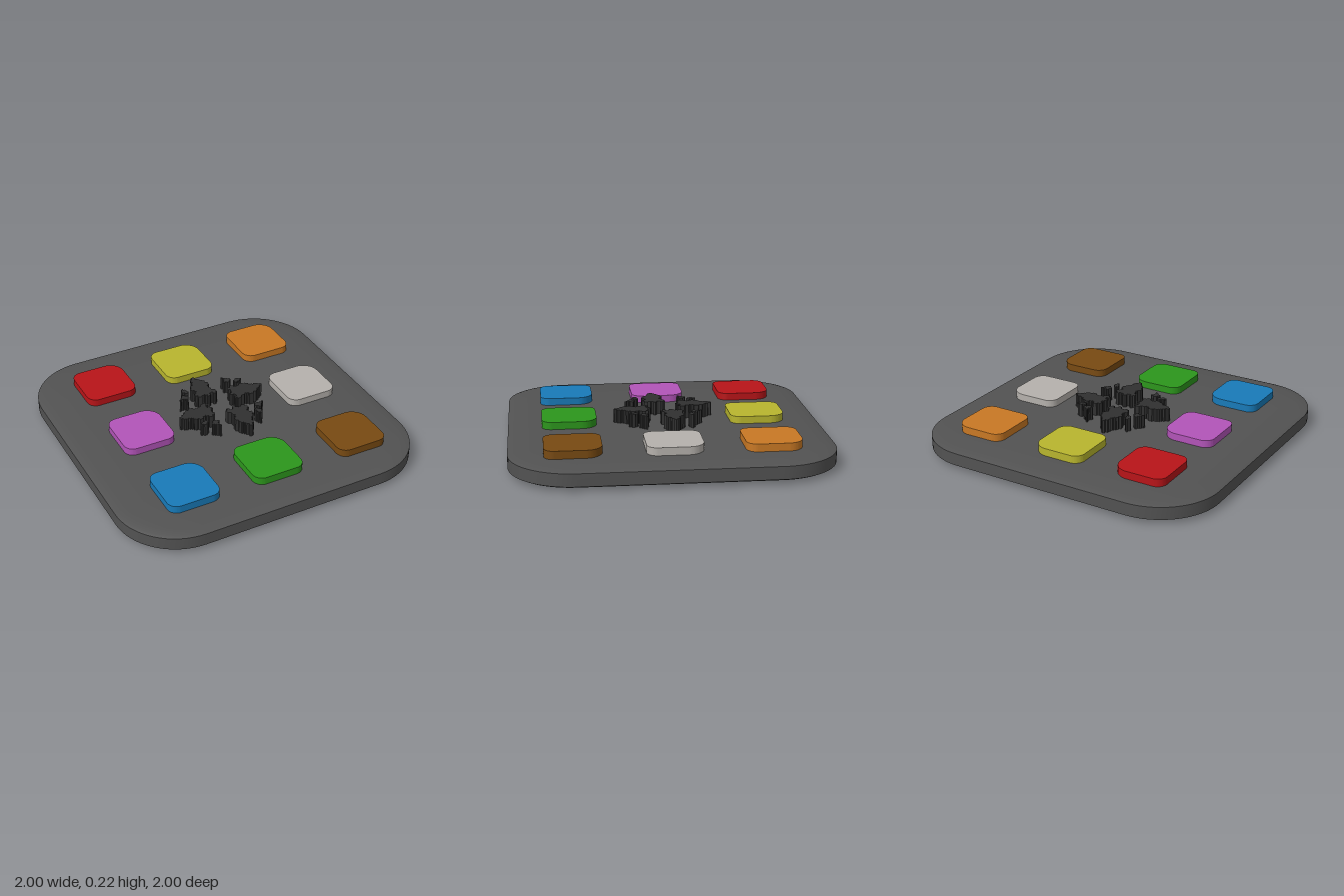
import * as THREE from 'three';
import { toCreasedNormals } from 'three/addons/utils/BufferGeometryUtils.js';

const mat = (color) => new THREE.MeshStandardMaterial({ color });

// Cushion-shaped slab lofted through rounded squares: [inset, height]
function slabGeometry() {
  const rings = [[0.36, 0], [0.25, 0.001], [0.15, 0.005], [0.07, 0.012], [0.02, 0.02], [0, 0.03],
    [0, 0.11], [0.02, 0.116], [0.07, 0.122], [0.15, 0.128], [0.25, 0.132], [0.36, 0.133]];
  const steps = 16, n = 4 * (steps + 1), pos = [], index = [];
  for (const [inset, y] of rings) {
    const r = 0.4 - inset;
    for (let q = 0; q < 4; q++) {
      const cx = q === 0 || q === 3 ? 0.6 : -0.6, cz = q < 2 ? 0.6 : -0.6;
      for (let s = 0; s <= steps; s++) {
        const a = (q + s / steps) * Math.PI / 2;
        pos.push(cx + r * Math.cos(a), y, cz + r * Math.sin(a));
      }
    }
  }
  for (let i = 0; i < rings.length - 1; i++) {
    for (let j = 0; j < n; j++) {
      const a = i * n + j, b = i * n + (j + 1) % n;
      index.push(a, a + n, b, b, a + n, b + n);
    }
  }
  const low = pos.length / 3, high = low + 1, last = (rings.length - 1) * n;
  pos.push(0, 0, 0, 0, 0.134, 0);
  for (let j = 0; j < n; j++) {
    const k = (j + 1) % n;
    index.push(low, j, k, high, last + k, last + j);
  }
  const g = new THREE.BufferGeometry();
  g.setAttribute('position', new THREE.Float32BufferAttribute(pos, 3));
  g.setIndex(index);
  return toCreasedNormals(g, 0.6);
}

// Upright prism from a plan outline
function prism(shape, bottom, top) {
  const g = new THREE.ExtrudeGeometry(shape, { depth: top - bottom, bevelEnabled: false, curveSegments: 10 });
  g.rotateX(-Math.PI / 2);
  g.translate(0, bottom, 0);
  return g;
}

// Button outline: one corner is rounder than the others
function buttonShape() {
  const w = 0.17, h = 0.175, r = 0.065, R = 0.1;
  const s = new THREE.Shape();
  s.moveTo(-w + r, -h);
  s.lineTo(w - r, -h);
  s.absarc(w - r, -h + r, r, -Math.PI / 2, 0);
  s.absarc(w - R, h - R, R, 0, Math.PI / 2);
  s.absarc(-w + r, h - r, r, Math.PI / 2, Math.PI);
  s.absarc(-w + r, -h + r, r, Math.PI, Math.PI * 1.5);
  return s;
}

// Coastline-like outline: every edge gets a fine zigzag
function raggedShape(points, teeth, amp) {
  const out = [];
  points.forEach(([x, y], i) => {
    const [x2, y2] = points[(i + 1) % points.length];
    const dx = x2 - x, dy = y2 - y, len = Math.hypot(dx, dy);
    for (let t = 0; t < teeth; t++) {
      const off = t === 0 ? 0 : (t % 2 ? amp : -amp * 0.6);
      out.push(new THREE.Vector2(x + dx * t / teeth - dy / len * off, y + dy * t / teeth + dx / len * off));
    }
  });
  return new THREE.Shape(out);
}

export function createModel() {
  const model = new THREE.Group();
  const add = (parent, geometry, material, name) => {
    const m = new THREE.Mesh(geometry, material);
    m.name = name;
    parent.add(m);
    return m;
  };

  add(model, slabGeometry(), mat(0x525252), 'base');

  // Eight coloured buttons around the edge
  const buttonGeometry = toCreasedNormals(prism(buttonShape(), 0.12, 0.18), 0.6);
  const buttons = [
    ['redButton', 0xb81418, -0.55, -0.605], ['yellowButton', 0xb8b52e, 0.02, -0.6],
    ['orangeButton', 0xc87824, 0.607, -0.6], ['purpleButton', 0xb254b8, -0.55, -0.01],
    ['whiteButton', 0xb5b1ac, 0.615, 0], ['blueButton', 0x187ab8, -0.55, 0.61],
    ['greenButton', 0x2c961c, 0.02, 0.61], ['brownButton', 0x784a12, 0.615, 0.61],
  ];
  for (const [name, color, x, z] of buttons) {
    add(model, buttonGeometry, mat(color), name).position.set(x, 0, z);
  }

  // Ragged raised ornament: one arm with its islets, repeated every quarter turn
  const dark = mat(0x303030);
  const arm = [[-0.05, 0.325], [-0.025, 0.285], [-0.005, 0.265], [0.015, 0.215], [-0.01, 0.18],
    [0.025, 0.12], [0.005, 0.095], [-0.015, 0.13], [-0.04, 0.085], [-0.065, 0.115],
    [-0.1, 0.1], [-0.125, 0.135], [-0.095, 0.165], [-0.12, 0.2], [-0.1, 0.24],
    [-0.08, 0.255], [-0.075, 0.29]];
  const islets = [
    [[-0.17, 0.235], [-0.155, 0.215], [-0.145, 0.185], [-0.165, 0.175], [-0.185, 0.205]],
    [[-0.2, 0.17], [-0.17, 0.145], [-0.185, 0.11], [-0.205, 0.13], [-0.24, 0.12], [-0.215, 0.145]],
  ];
  const geometries = [prism(raggedShape(arm, 4, 0.007), 0.12, 0.22),
    ...islets.map((p) => prism(raggedShape(p, 4, 0.004), 0.12, 0.22))];
  const ornament = new THREE.Group();
  ornament.name = 'ornament';
  ornament.position.x = 0.016;
  for (let k = 0; k < 4; k++) {
    const quarter = new THREE.Group();
    quarter.name = 'ornamentArm';
    quarter.rotation.y = k * Math.PI / 2;
    geometries.forEach((g, i) => add(quarter, g, dark, i ? 'islet' : 'arm'));
    ornament.add(quarter);
  }
  model.add(ornament);
  return model;
}
